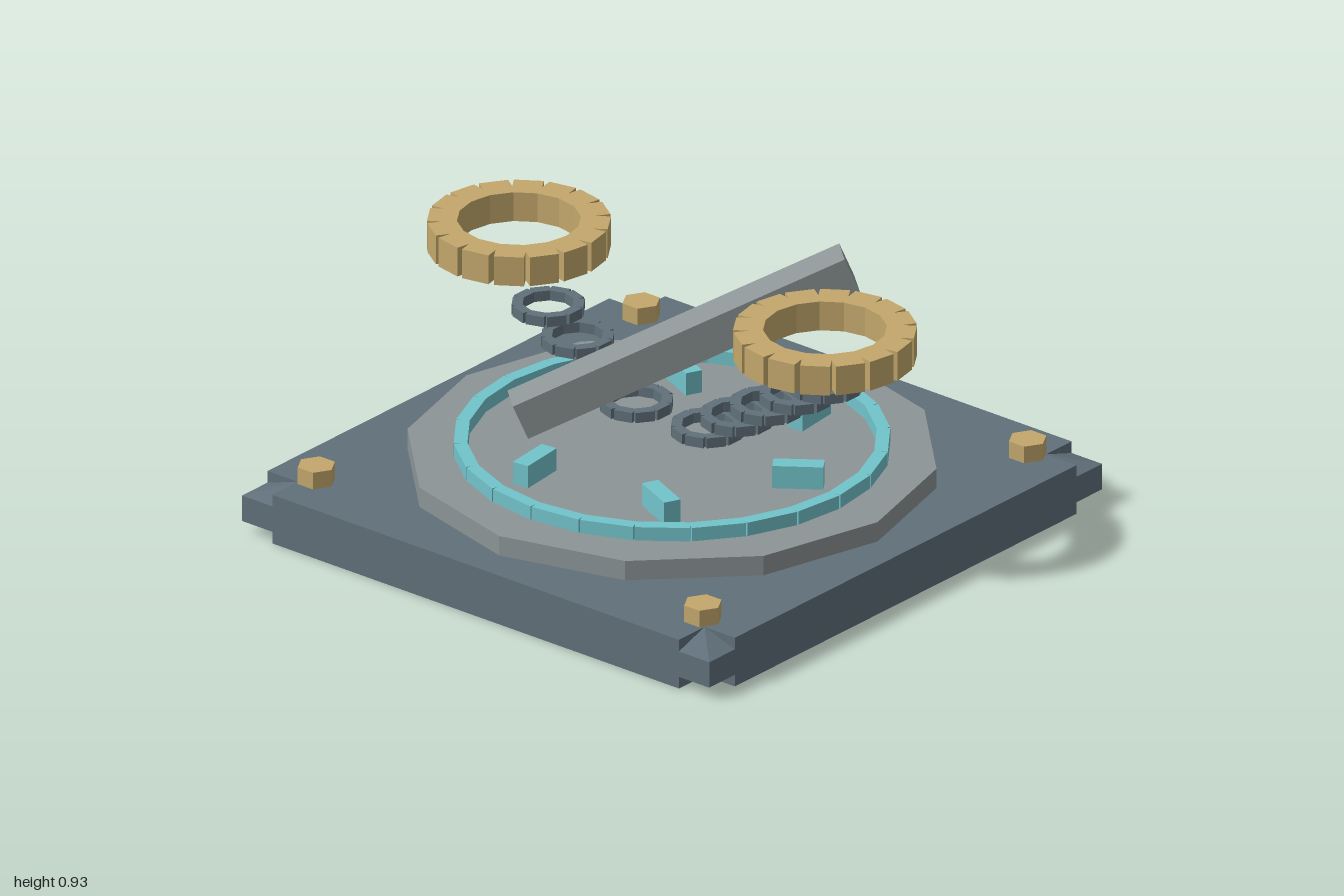
import * as THREE from 'three';
import { ConvexGeometry } from 'three/addons/geometries/ConvexGeometry.js';

const material = (name, color) => {
  const m = new THREE.MeshStandardMaterial({ color, flatShading: true });
  m.name = name;
  return m;
};

export function createModel() {
  const slate = material('slate', 0x60707a);
  const stone = material('stone', 0x8c9496);
  const brass = material('brass', 0xc4a86c);
  const cyan = material('cyan', 0x72c4cb);
  const model = new THREE.Group();
  model.name = 'mechanism';

  const add = (name, geometry, mat, x = 0, y = 0, z = 0, parent = model) => {
    const mesh = new THREE.Mesh(geometry, mat);
    mesh.name = name;
    mesh.position.set(x, y, z);
    parent.add(mesh);
    return mesh;
  };

  // Ring of straight blocks that meet at mid radius, leaving V gaps outside
  const addRing = (name, mat, count, inner, outer, height, x, y) => {
    const ring = new THREE.Group();
    ring.name = name;
    ring.position.set(x, y, 0);
    const mid = (inner + outer) / 2;
    const block = new THREE.BoxGeometry(2 * mid * Math.tan(Math.PI / count), height, outer - inner);
    for (let i = 0; i < count; i++) {
      const a = ((i + 0.5) / count) * Math.PI * 2;
      add(name + 'Block', block, mat, Math.sin(a) * mid, 0, Math.cos(a) * mid, ring).rotation.y = a;
    }
    model.add(ring);
  };

  // Base slab: a plus-shaped plate with its square corners left open
  const H = 0.176, N = 0.87, LOW = 0.042, HIGH = 0.134;
  const plus = new THREE.Shape([
    [N, -1], [N, -N], [1, -N], [1, N], [N, N], [N, 1],
    [-N, 1], [-N, N], [-1, N], [-1, -N], [-N, -N], [-N, -1],
  ].map(([x, y]) => new THREE.Vector2(x, y)));
  const slab = new THREE.ExtrudeGeometry(plus, { depth: H, bevelEnabled: false });
  slab.rotateX(-Math.PI / 2);
  add('baseSlab', slab, slate);

  for (const sx of [-1, 1]) {
    for (const sz of [-1, 1]) {
      // Hipped corner block, recessed above and below
      const points = [[N, 0, N], [N, H, N]];
      for (const y of [LOW, HIGH]) points.push([1, y, N], [1, y, 1], [N, y, 1]);
      add('baseCorner', new ConvexGeometry(
        points.map(([x, y, z]) => new THREE.Vector3(sx * x, y, sz * z))), slate);

      // Hexagonal bolt
      add('bolt', new THREE.CylinderGeometry(0.065, 0.065, 0.06, 6), brass,
        sx * 0.827, H + 0.03, sz * 0.827).rotation.y = Math.PI / 6;
    }
  }

  // Twelve-sided plate and the dial ring
  add('plate', new THREE.CylinderGeometry(0.88, 0.88, 0.07, 12), stone, 0, H + 0.035, 0);
  addRing('dialRing', cyan, 24, 0.667, 0.712, 0.048, 0, 0.27);

  // Six slanted dial markers
  const marker = new THREE.BoxGeometry(0.168, 0.08, 0.06);
  for (let i = 0; i < 6; i++) {
    const a = THREE.MathUtils.degToRad(6 + i * 60);
    add('dialMarker', marker, cyan, Math.cos(a) * 0.5, 0.286, -Math.sin(a) * 0.5)
      .rotation.y = a + Math.PI / 6;
  }

  // Tilted lever
  const lever = add('lever', new THREE.BoxGeometry(1.19, 0.13, 0.126), stone, 0.033, 0.638, -0.02);
  lever.rotation.set(0, THREE.MathUtils.degToRad(48.2), THREE.MathUtils.degToRad(22.7));

  // Rising chains of small links, four on the right and five on the left
  for (const [side, count] of [[-1, 4], [1, 5]]) {
    for (let i = 0; i < count; i++) {
      addRing('chainLink', slate, 10, 0.082, 0.118, 0.036, side * (0.152 + i * 0.126), 0.368 + i * 0.0775);
    }
    // Large floating ring
    addRing('largeRing', brass, 16, 0.2, 0.298, 0.104, side * 0.655, 0.829);
  }

  return model;
}
